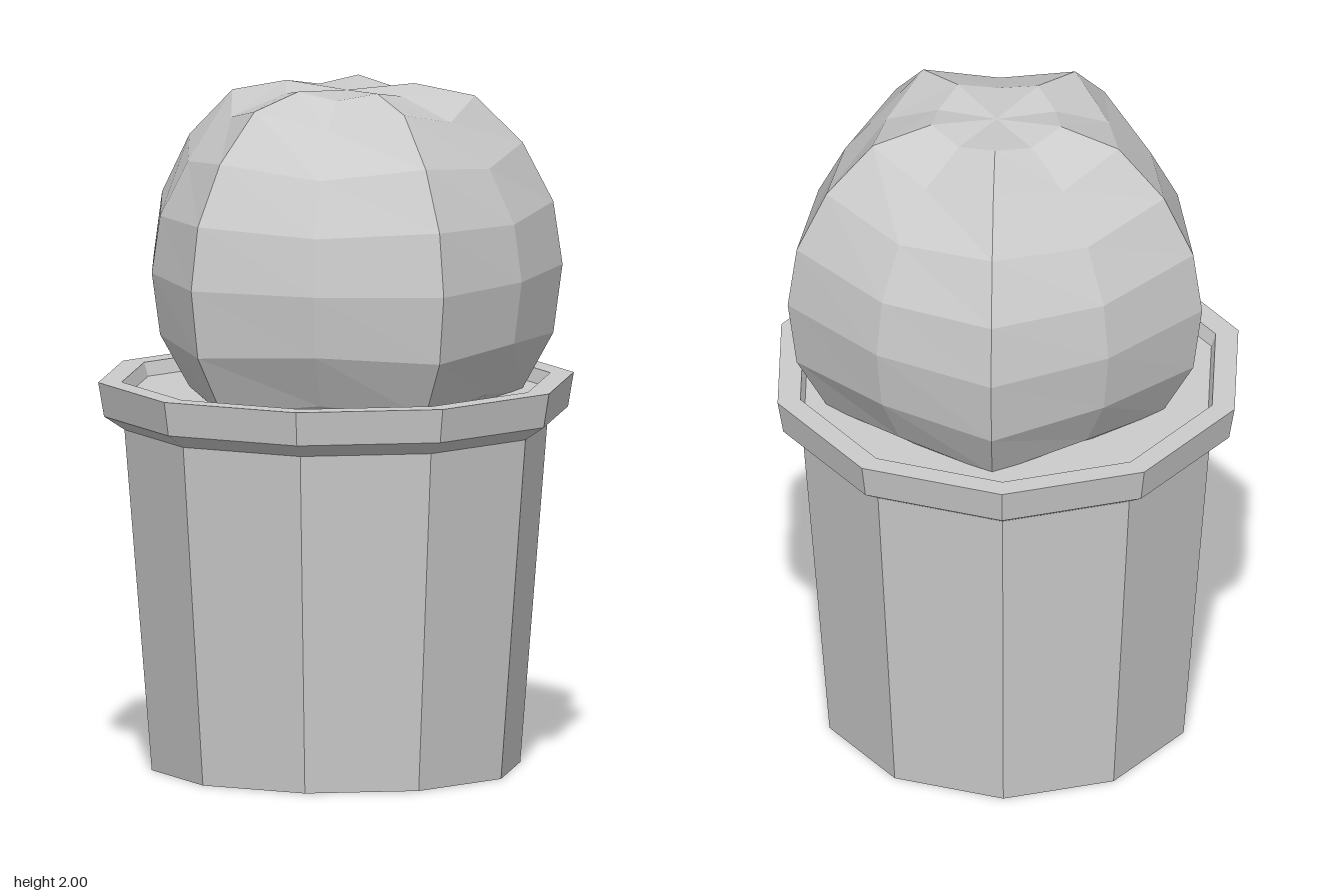
import * as THREE from 'three';

const SIDES = 10;
const material = new THREE.MeshStandardMaterial({ color: 0xcccccc, flatShading: true });

// Ten-sided turned shape with a corner on the x axis; profile is [radius, height] from the bottom up
function turned(name, profile) {
  const points = profile.map(([r, y]) => new THREE.Vector2(r, y));
  const mesh = new THREE.Mesh(new THREE.LatheGeometry(points, SIDES, Math.PI / 2), material);
  mesh.name = name;
  return mesh;
}

// Ball whose even columns are pulled in towards the middle, leaving five ridges
function createScoop() {
  const middle = 1.46, valley = 0.905;
  const profile = [
    [0, 0.97], [0.36, 0.98], [0.51, 1.09], [0.605, 1.26], [0.632, 1.46],
    [0.605, 1.645], [0.515, 1.82], [0.375, 1.96], [0.198, 2.0], [0, 1.985],
  ];
  const scoop = turned('scoop', profile);
  const pos = scoop.geometry.attributes.position;
  for (let i = 0; i < pos.count; i++) {
    const column = Math.floor(i / profile.length);
    const ring = i % profile.length;
    if (column % 2 === 1 || ring === profile.length - 1) continue;
    const y = pos.getY(i);
    // The crown is pulled down less than the flanks
    const pull = ring === profile.length - 2 ? 0.96 : valley;
    pos.setXYZ(i, pos.getX(i) * valley, middle + (y - middle) * pull, pos.getZ(i) * valley);
  }
  scoop.geometry.computeVertexNormals();
  scoop.position.set(0.015, 0, 0.03);
  return scoop;
}

export function createModel() {
  const group = new THREE.Group();
  group.name = 'ice cream cup';

  // Tapered cup with a closed base
  group.add(turned('cup', [[0, 0], [0.54, 0], [0.62, 1.0]]));

  // Flared rim with a shallow inner wall
  group.add(turned('rim', [[0.62, 1.0], [0.68, 1.04], [0.697, 1.14], [0.628, 1.14], [0.615, 1.1]]));

  // Flat filling inside the rim
  group.add(turned('filling', [[0.615, 1.1], [0, 1.1]]));

  group.add(createScoop());
  return group;
}
